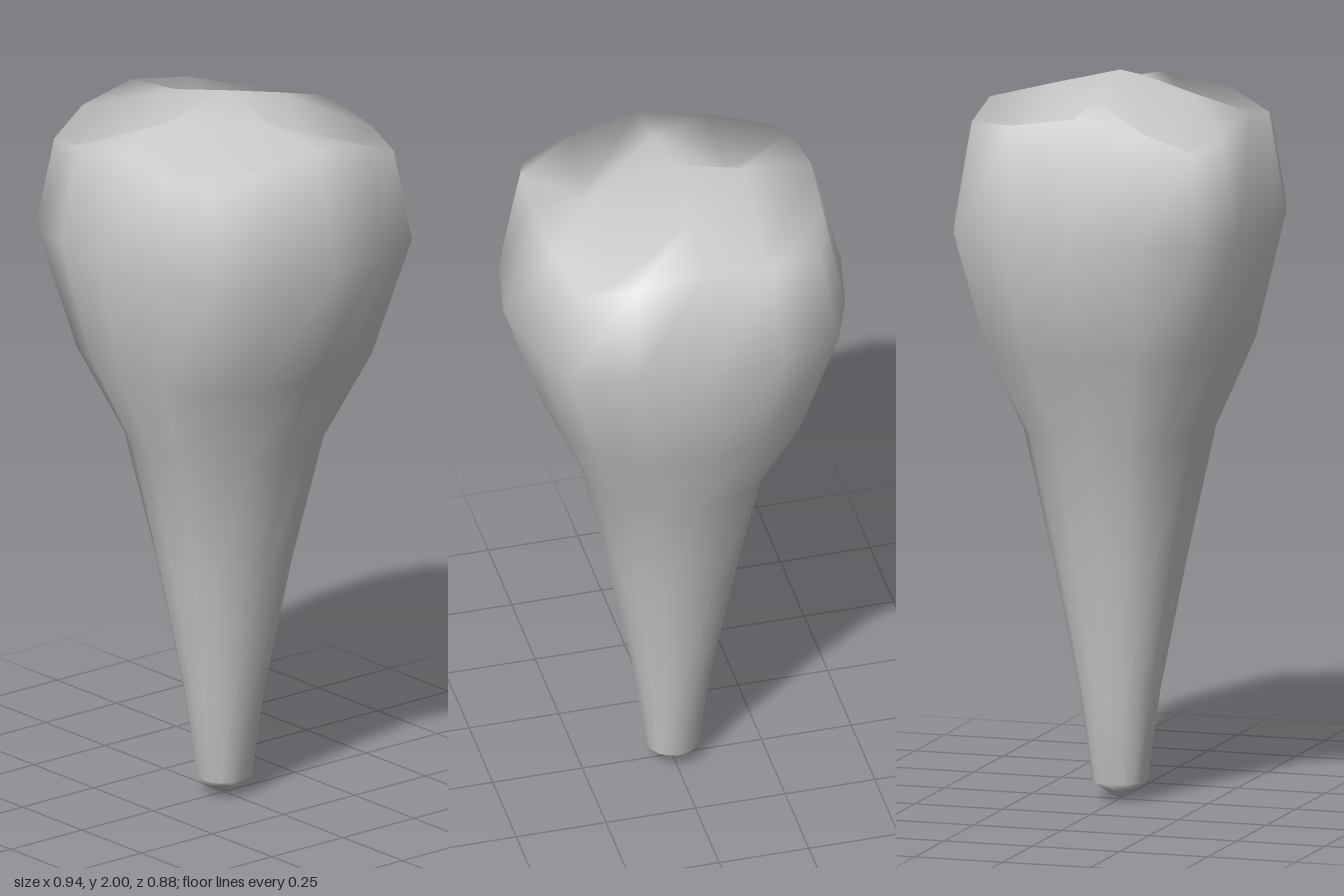
import * as THREE from 'three';
import { mergeVertices } from 'three/addons/utils/BufferGeometryUtils.js';

// Rings from the root tip up to the chewing rim: height, half width, half depth,
// then the rounded-square outline: quarter point (out, along) and corner factor.
const RINGS = [
  [0.05, 0.072, 0.075, 0.92, 0.4, 0.71],
  [0.3, 0.105, 0.11, 0.92, 0.4, 0.72],
  [0.66, 0.175, 0.182, 0.92, 0.4, 0.72],
  [1.02, 0.255, 0.26, 0.92, 0.4, 0.74],
  [1.26, 0.36, 0.365, 0.92, 0.42, 0.78],
  [1.595, 0.47, 0.438, 0.92, 0.44, 0.795],
  [1.9, 0.388, 0.37, 0.965, 0.5, 0.86],
];

// Heights on the crown by grid step from the centre: [across x][across z].
const CROWN = [
  [2.0, 1.95, 1.905],
  [1.95, 1.79, 1.87],
  [1.93, 1.9, 1.845],
];

// Heights on the root tip, same layout.
const TIP = [
  [0, 0.025, 0.05],
  [0.025, 0.035, 0.05],
  [0.05, 0.05, 0.05],
];

// Moves a point of the 2 x 2 x 2 box onto the tooth surface.
function shapePoint(p) {
  const layer = Math.round((p.y + 1) / 2 * (RINGS.length - 1));
  const [height, rx, rz, out, along, corner] = RINGS[layer];
  const i = Math.round(Math.abs(p.x) * 2), k = Math.round(Math.abs(p.z) * 2);
  const top = layer === RINGS.length - 1, bottom = layer === 0;

  let fx, fz;
  if (i === 2 || k === 2) {
    fx = i === 2 ? [1, out, corner][k] : [0, along][i];
    fz = k === 2 ? [1, out, corner][i] : [0, along][k];
  } else {
    fx = i * 0.52;
    fz = k * 0.54;
  }
  const y = top ? CROWN[i][k] : bottom ? TIP[i][k] : height;
  return p.set(Math.sign(p.x) * fx * rx, y, Math.sign(p.z) * fz * rz);
}

export function createModel() {
  const group = new THREE.Group();
  group.name = 'tooth';

  // One smooth skin: crown with four hollows, neck and tapering root
  let geometry = new THREE.BoxGeometry(2, 2, 2, 4, RINGS.length - 1, 4);
  geometry.deleteAttribute('uv');
  geometry.deleteAttribute('normal');
  geometry.clearGroups();
  const pos = geometry.attributes.position;
  const p = new THREE.Vector3();
  for (let n = 0; n < pos.count; n++) {
    shapePoint(p.fromBufferAttribute(pos, n));
    pos.setXYZ(n, p.x, p.y, p.z);
  }
  geometry = mergeVertices(geometry, 1e-4);
  geometry.computeVertexNormals();

  const tooth = new THREE.Mesh(geometry, new THREE.MeshStandardMaterial({ color: 0xcccccc }));
  tooth.name = 'crownAndRoot';
  group.add(tooth);
  return group;
}
